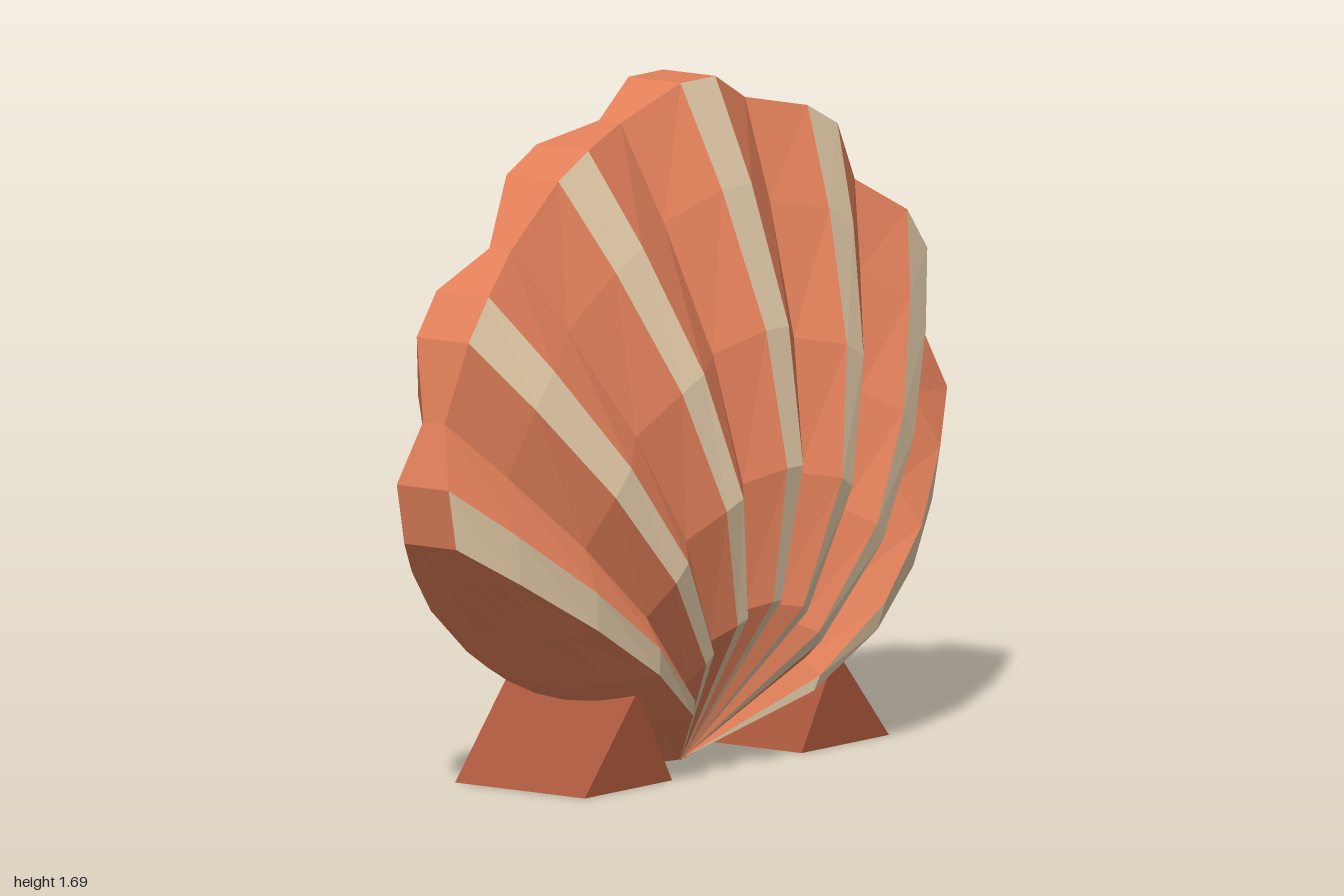
import * as THREE from 'three';

const mat = (name, color) => {
  const m = new THREE.MeshStandardMaterial({ color, flatShading: true });
  m.name = name;
  return m;
};

// Rim points from the middle rib outwards: x, y, dome factor, 1 for a groove
const HALF = [
  [0.07, 1.69, 1, 0], [0.25, 1.61, 0.985, 1], [0.44, 1.57, 0.98, 0],
  [0.56, 1.51, 0.95, 0], [0.69, 1.35, 0.92, 1], [0.84, 1.26, 0.89, 0],
  [0.92, 1.155, 0.86, 0], [0.955, 0.955, 0.83, 1], [1.0, 0.8, 0.8, 0],
  [0.97, 0.65, 0.76, 0],
];
// Rings from hinge to rim: fraction, rib height, groove depth, side bulge x, y
const RINGS = [
  [0, 0.03, 0, 0.06, 0], [0.25, 0.325, 0.05, 0.29, 0.125],
  [0.45, 0.38, 0.07, 0.52, 0.25], [0.65, 0.325, 0.07, 0.67, 0.385],
  [0.85, 0.2, 0.06, 0.85, 0.543], [1, 0.08, 0.047, 0.97, 0.65],
];

// Flat-faced surface between columns of points
function sheet(columns, flip) {
  const pos = [];
  const tri = (a, b, c) => {
    const area = b.clone().sub(a).cross(c.clone().sub(a)).length();
    if (area < 1e-8) return;
    for (const p of flip ? [a, c, b] : [a, b, c]) pos.push(p.x, p.y, p.z);
  };
  for (let j = 0; j < columns.length - 1; j++) {
    const l = columns[j], r = columns[j + 1];
    for (let i = 0; i < l.length - 1; i++) {
      tri(l[i], r[i], r[i + 1]);
      tri(l[i], r[i + 1], l[i + 1]);
    }
  }
  const g = new THREE.BufferGeometry();
  g.setAttribute('position', new THREE.Float32BufferAttribute(pos, 3));
  g.computeVertexNormals();
  return g;
}

export function createModel() {
  const group = new THREE.Group();
  const coral = mat('coral', 0xe2805a);
  const cream = mat('cream', 0xe3caa8);
  const rust = mat('rust', 0xa9573c);
  const add = (name, geometry, material) => {
    const mesh = new THREE.Mesh(geometry, material);
    mesh.name = name;
    group.add(mesh);
    return mesh;
  };

  const rim = [...HALF.map(([x, ...rest]) => [-x, ...rest]).reverse(), ...HALF];
  const column = ([x, y, m, groove], side) => RINGS.map(([t, h, depth]) => {
    const z = 0.08 * t + (h - 0.08 * t) * m - groove * depth;
    return new THREE.Vector3(x * t, y * t, z * side);
  });
  const front = rim.map((r) => column(r, 1));
  const back = rim.map((r) => column(r, -1));

  // Ribbed valves: cream stripe on each rib crest, coral flanks
  for (const [label, cols, flip] of [['front', front, false], ['back', back, true]]) {
    for (let j = 0; j < cols.length - 1; j++) {
      const crest = !rim[j][3] && !rim[j + 1][3];
      add(label + (crest ? 'RibStripe' : 'RibFlank'),
        sheet([cols[j], cols[j + 1]], flip), crest ? cream : coral);
    }
  }

  // Scalloped band joining the two valves
  const last = RINGS.length - 1;
  add('rimBand', sheet(rim.map((_, j) => [front[j][last], back[j][last]]), false), coral);

  // Rounded lower sides
  const edge = front[front.length - 1];
  for (const side of [1, -1]) {
    const cols = [];
    for (let k = 0; k <= 6; k++) {
      const s = 1 - k / 3;
      const w = 1 - s * s;
      cols.push(edge.map((p, i) => new THREE.Vector3(
        side * (p.x + (RINGS[i][3] - p.x) * w),
        p.y + (RINGS[i][4] - p.y) * w,
        p.z * s)));
    }
    add(side > 0 ? 'leftLowerSide' : 'rightLowerSide', sheet(cols, side < 0), coral);
  }

  // Small underside at the hinge
  const hinge = add('hingeCap', new THREE.CircleGeometry(1, 8), coral);
  hinge.scale.set(0.06, 0.03, 1);
  hinge.rotation.x = Math.PI / 2;

  // Wedge feet
  for (const side of [1, -1]) {
    const wedge = new THREE.Shape([[0.26, 0], [0.61, 0], [0.4, 0.237]]
      .map(([x, y]) => new THREE.Vector2(x * side, y)));
    const g = new THREE.ExtrudeGeometry(wedge, { depth: 0.4, bevelEnabled: false });
    g.translate(0, 0, -0.2);
    add(side > 0 ? 'leftFoot' : 'rightFoot', g, rust);
  }
  return group;
}
